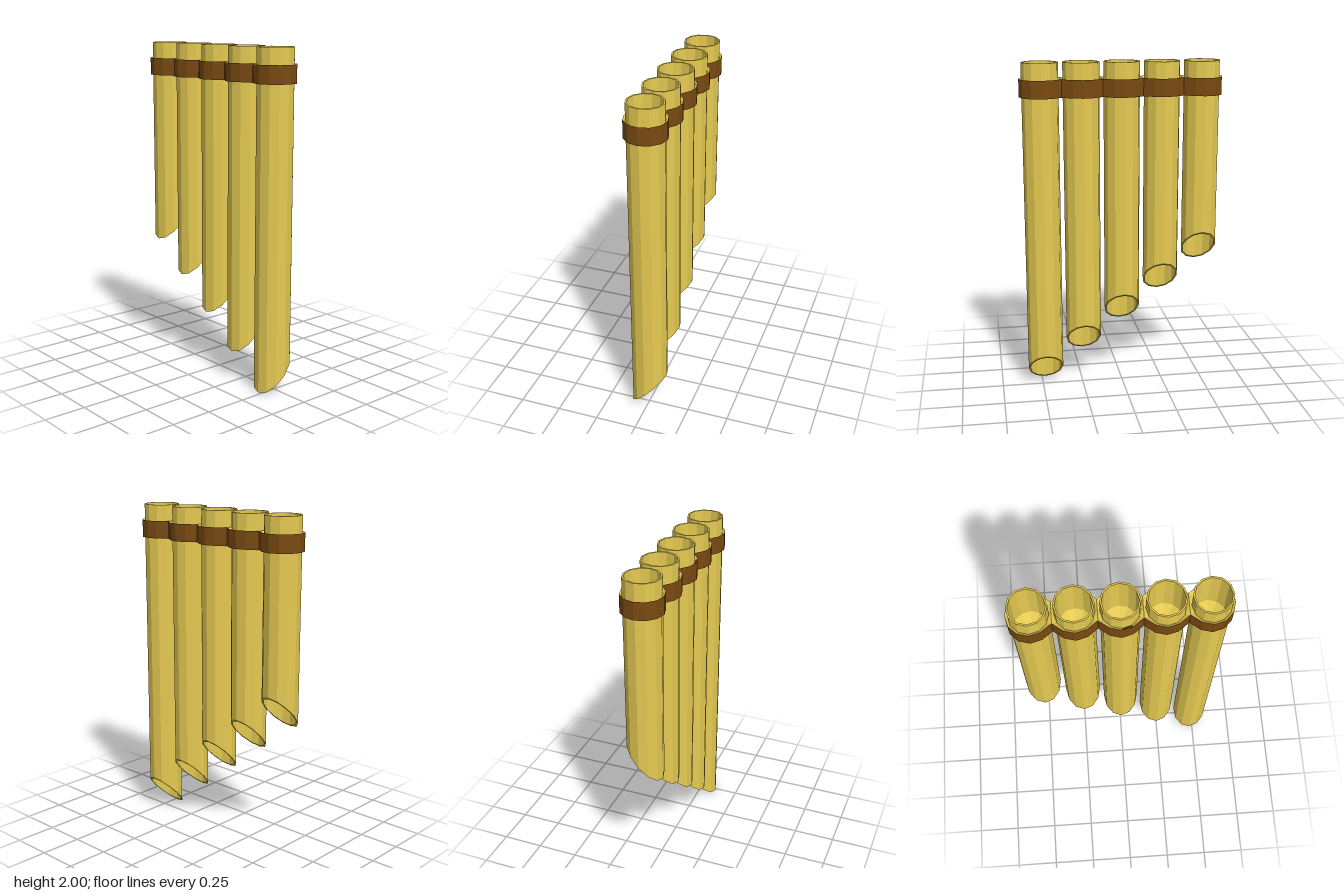
import * as THREE from 'three';

const SIDES = 12, SPACING = 0.24, COUNT = 5;
const RADIUS = 0.108, BORE = 0.098, BAND_RADIUS = 0.123;

const gold = new THREE.MeshStandardMaterial({ color: 0xe6cb52, flatShading: true });
const brown = new THREE.MeshStandardMaterial({ color: 0x7a4a12, flatShading: true });

// Joins successive rings of points with quads; keep(k, i) picks which quads are made.
function loft(rings, keep = () => true) {
  const pos = [];
  for (let k = 0; k < rings.length - 1; k++) {
    for (let i = 0; i < SIDES; i++) {
      if (!keep(k, i)) continue;
      const j = (i + 1) % SIDES;
      const a = rings[k][i], b = rings[k + 1][i], c = rings[k + 1][j], d = rings[k][j];
      for (const p of [a, b, c, a, c, d]) pos.push(p.x, p.y, p.z);
    }
  }
  const geo = new THREE.BufferGeometry();
  geo.setAttribute('position', new THREE.Float32BufferAttribute(pos, 3));
  geo.computeVertexNormals();
  return geo;
}

// A polygon ring; the height may depend on z, and xMin / xMax flatten its sides.
function ring(r, height, xMin = -1, xMax = 1) {
  return Array.from({ length: SIDES }, (_, i) => {
    const a = (i / SIDES) * Math.PI * 2;
    const z = r * Math.sin(a);
    const y = typeof height === 'function' ? height(z) : height;
    return new THREE.Vector3(THREE.MathUtils.clamp(r * Math.cos(a), xMin, xMax), y, z);
  });
}

// Hollow pipe with a slanted lower end and a narrow throat inside.
function pipeGeometry(low) {
  const cut = (z) => low + (RADIUS - z) * 1.03;
  return loft([
    ring(RADIUS, cut), ring(RADIUS, 2), ring(BORE, 2),
    ring(BORE, 1.72), ring(0.035, 1.64), ring(0.035, 1.62), ring(BORE, 1.54),
    ring(BORE, cut), ring(RADIUS, cut),
  ]);
}

// Band lobe around one pipe, its sides meeting the neighbouring lobes halfway.
function bandRings(n) {
  const half = SPACING / 2;
  const first = n === 0, last = n === COUNT - 1;
  const outer = (y) => {
    const pts = ring(BAND_RADIUS, y);
    for (const i of [11, 0, 1]) if (!last) pts[i].x = half;
    for (const i of [5, 6, 7]) if (!first) pts[i].x = -half;
    return pts;
  };
  const hidden = (i) => (!last && (i === 11 || i === 0)) || (!first && (i === 5 || i === 6));
  return {
    rings: [ring(RADIUS - 0.004, 1.815), outer(1.8), outer(1.905), ring(RADIUS - 0.004, 1.89)],
    hidden,
  };
}

export function createModel() {
  const model = new THREE.Group();
  model.name = 'panFlute';
  const add = (name, geo, mat, x) => {
    const mesh = new THREE.Mesh(geo, mat);
    mesh.name = name;
    mesh.position.x = x;
    model.add(mesh);
  };

  for (let n = 0; n < COUNT; n++) {
    const x = (n - (COUNT - 1) / 2) * SPACING;
    add('pipe', pipeGeometry(0.75 - n * 0.1875), gold, x);

    // The band is brown outside with a gold upper face, but for one brown facet.
    const { rings, hidden } = bandRings(n);
    const odd = (i) => n === 2 && i === 2;
    add('band', loft(rings, (k, i) => (k === 2 ? odd(i) : k === 0 || !hidden(i))), brown, x);
    add('bandTop', loft(rings, (k, i) => k === 2 && !odd(i)), gold, x);
  }
  return model;
}
